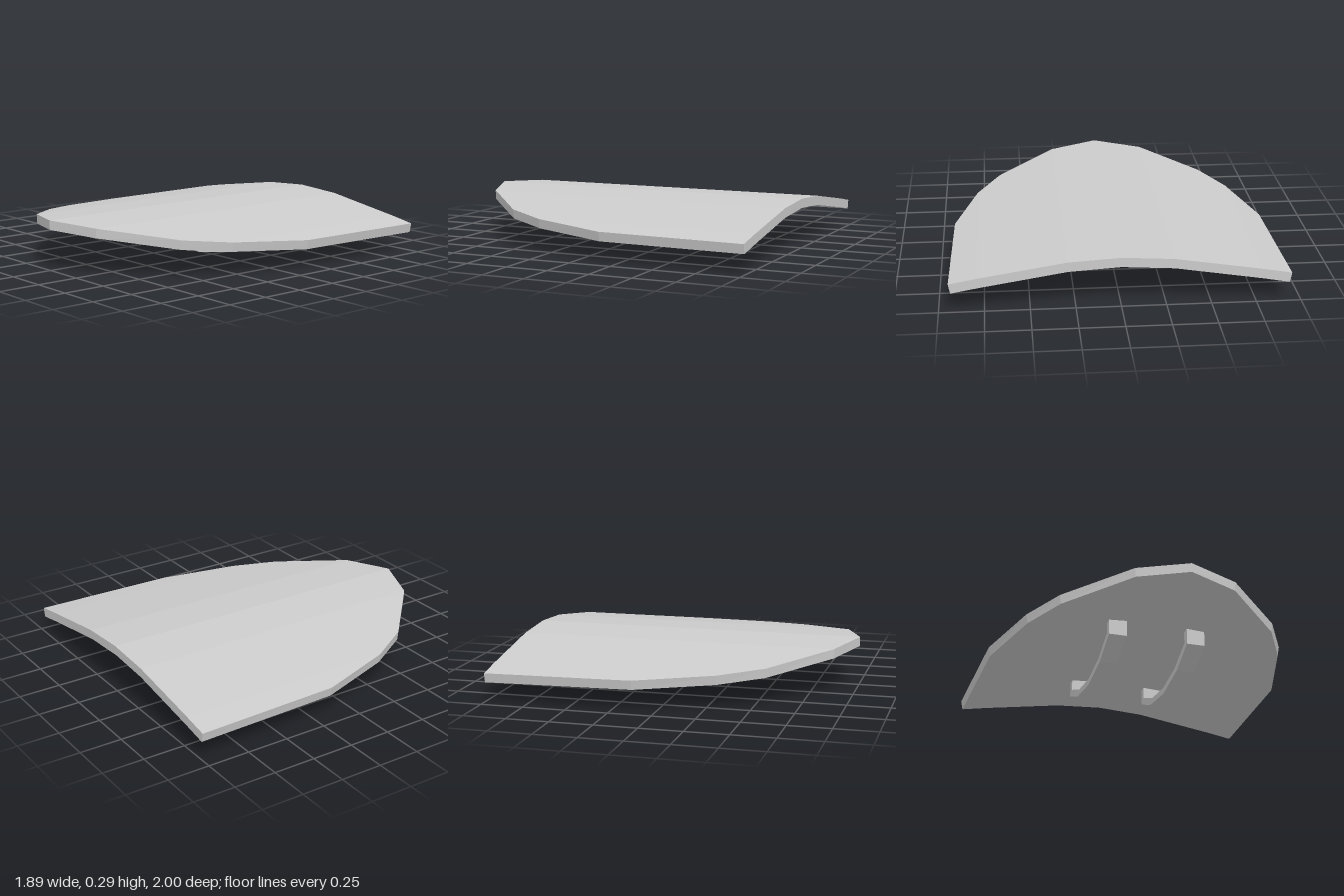
import * as THREE from 'three';

const THICK = 0.055, BACK = -1;
// Half outline from centre to side: [x, top height, front z]
const HALF = [
  [0, 0.29, 1], [0.295, 0.272, 0.89], [0.645, 0.217, 0.56],
  [0.785, 0.195, 0.31], [0.92, 0.171, -0.14], [0.943, 0.167, BACK],
];

// Curved plate: strips running front to back, bent across the width
function plateGeometry() {
  const stations = [...HALF.slice(1).reverse().map(([x, y, z]) => [-x, y, z]), ...HALF];
  const pos = [];
  const quad = (a, b, c, d) => pos.push(...a, ...b, ...c, ...a, ...c, ...d);
  const corners = ([x, y, z]) => ({
    topFront: [x, y, z], topBack: [x, y, BACK],
    lowFront: [x * 0.988, y - THICK, z], lowBack: [x * 0.988, y - THICK, BACK],
  });
  for (let i = 0; i < stations.length - 1; i++) {
    const l = corners(stations[i]), r = corners(stations[i + 1]);
    quad(l.topFront, r.topFront, r.topBack, l.topBack);
    quad(l.lowBack, r.lowBack, r.lowFront, l.lowFront);
    quad(l.lowFront, r.lowFront, r.topFront, l.topFront);
    quad(r.lowBack, l.lowBack, l.topBack, r.topBack);
  }
  const g = new THREE.BufferGeometry();
  g.setAttribute('position', new THREE.Float32BufferAttribute(pos, 3));
  g.computeVertexNormals();
  return g;
}

// Bent grip strap: side profile mirrored about its middle, then extruded
function strapGeometry() {
  const mid = -0.14, width = 0.11;
  const outer = [[0.48, 0.235], [0.48, 0.125], [0.275, 0.038]];
  const inner = [[0.235, 0.07], [0.43, 0.15], [0.43, 0.235]];
  const flip = (list) => list.map(([d, y]) => [-d, y]).reverse();
  const profile = [...outer, [0, 0], ...flip(outer), ...flip(inner), [0, 0.04], ...inner];
  const shape = new THREE.Shape(profile.map(([d, y]) => new THREE.Vector2(mid + d, y)));
  return new THREE.ExtrudeGeometry(shape, { depth: width, bevelEnabled: false })
    .translate(0, 0, -width / 2)
    .rotateY(-Math.PI / 2);
}

export function createModel() {
  const model = new THREE.Group();
  model.name = 'shield';
  const material = new THREE.MeshStandardMaterial({ color: 0xcccccc, flatShading: true });

  const plate = new THREE.Mesh(plateGeometry(), material);
  plate.name = 'plate';
  model.add(plate);

  // Two grips on the underside
  const strap = strapGeometry();
  for (const [name, x] of [['leftGrip', 0.24], ['rightGrip', -0.24]]) {
    const grip = new THREE.Mesh(strap, material);
    grip.name = name;
    grip.position.x = x;
    model.add(grip);
  }
  return model;
}
